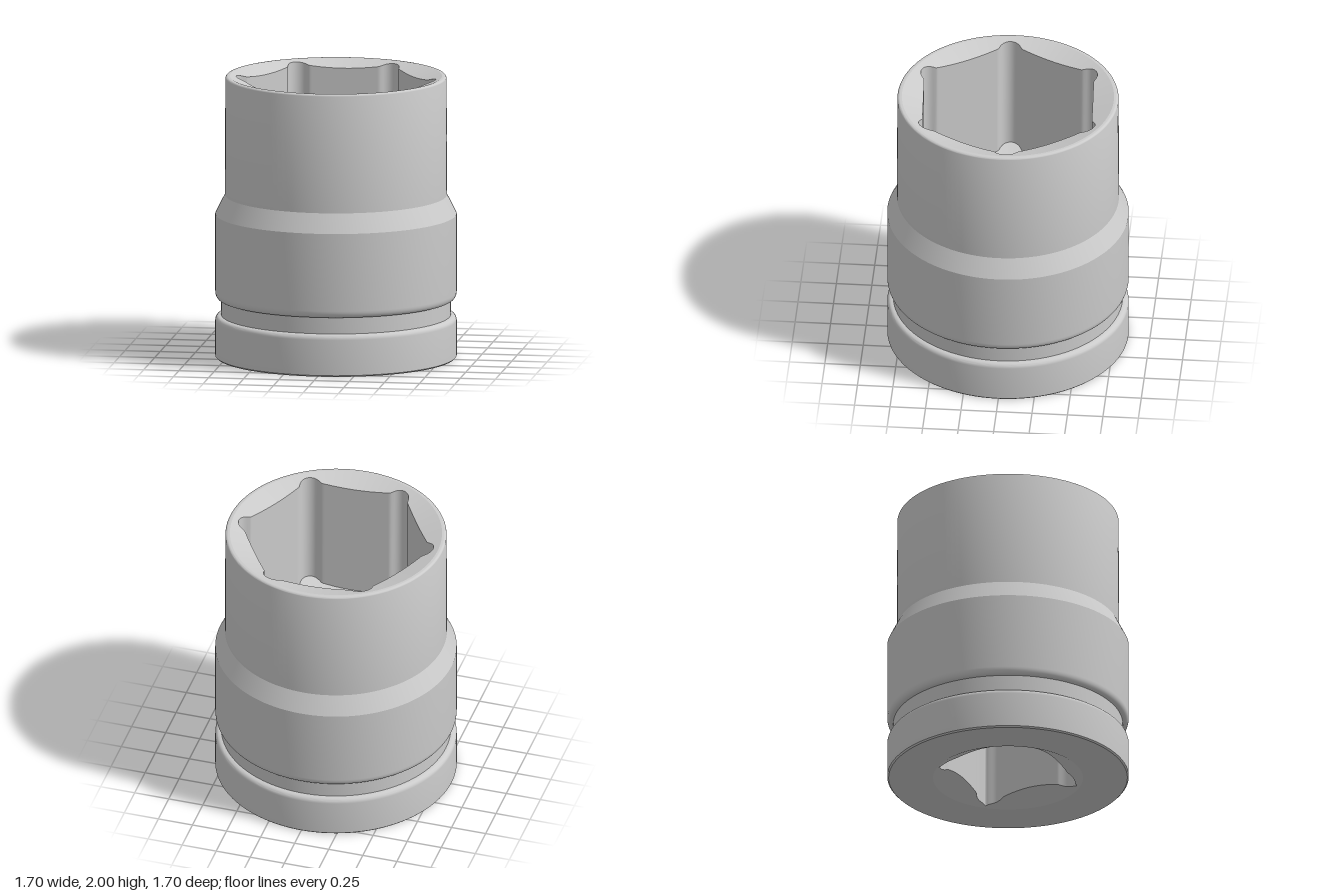
import * as THREE from 'three';
import { toCreasedNormals } from 'three/addons/utils/BufferGeometryUtils.js';

const SEGMENTS = 360;
const material = new THREE.MeshStandardMaterial({ color: 0xcccccc });

// Radius at an angle of a polygon bore whose corners are relieved by round lobes
function lobedBore(sides, flat, lobeDistance, lobeRadius, turn) {
  const step = (2 * Math.PI) / sides;
  return (angle) => {
    const t = (angle - turn) / step;
    const phi = (t - Math.round(t)) * step; // angle from the nearest corner
    const straight = flat / Math.cos(step / 2 - Math.abs(phi));
    const under = lobeRadius ** 2 - (lobeDistance * Math.sin(phi)) ** 2;
    if (under < 0) return straight;
    const lobe = lobeDistance * Math.cos(phi) + Math.sqrt(under);
    const blend = 0.02;
    const h = Math.max(blend - Math.abs(straight - lobe), 0);
    return Math.max(straight, lobe) + (h * h) / (4 * blend);
  };
}

// A ring gives [radius, height] at an angle
const circle = (r, y) => () => [r, y];
const onHeight = (radius, height) => (angle) => {
  const r = radius(angle);
  return [r, height(r)];
};
// Height of a cone running through two [radius, height] points
const cone = (a, b) => (r) => a[1] + ((r - a[0]) * (b[1] - a[1])) / (b[0] - a[0]);

// Smooth surface band between two rings
function band(name, from, to) {
  const positions = [];
  const index = [];
  for (let i = 0; i < SEGMENTS; i++) {
    const angle = (i / SEGMENTS) * 2 * Math.PI;
    for (const ring of [from, to]) {
      const [r, y] = ring(angle);
      positions.push(r * Math.cos(angle), y, r * Math.sin(angle));
    }
    const a = 2 * i;
    const n = 2 * ((i + 1) % SEGMENTS);
    index.push(a, a + 1, n, a + 1, n + 1, n);
  }
  const geometry = new THREE.BufferGeometry();
  geometry.setAttribute('position', new THREE.Float32BufferAttribute(positions, 3));
  geometry.setIndex(index);
  geometry.computeVertexNormals();
  const mesh = new THREE.Mesh(geometry, material);
  mesh.name = name;
  return mesh;
}

// Quarter-ellipse points for the rounded edges of the outer profile
function fillet(cx, cy, rx, ry, start, end) {
  return Array.from({ length: 7 }, (_, i) => {
    const a = start + ((end - start) * i) / 6;
    return [cx + rx * Math.cos(a), cy + ry * Math.sin(a)];
  });
}

export function createModel() {
  const group = new THREE.Group();
  group.name = 'impactSocket';
  const quarter = Math.PI / 2;

  // Outer body: base collar, retaining groove, wide body, taper and upper sleeve
  const profile = [
    [0.526, 0], [0.838, 0], [0.848, 0.01],
    ...fillet(0.815, 0.262, 0.033, 0.036, 0, quarter),
    [0.806, 0.3], [0.806, 0.418],
    ...fillet(0.818, 0.468, 0.03, 0.05, -quarter, 0),
    [0.848, 1.02], [0.78, 1.155],
    ...fillet(0.759, 1.982, 0.018, 0.018, 0, quarter),
    [0.745, 2],
  ].map(([x, y]) => new THREE.Vector2(x, y));
  const body = new THREE.Mesh(toCreasedNormals(new THREE.LatheGeometry(profile, 128), 0.4), material);
  body.name = 'outerBody';
  group.add(body);

  // Bore outlines
  const degree = Math.PI / 180;
  const hex = lobedBore(6, 0.595, 0.624, 0.08, -3.2 * degree);
  const square = lobedBore(4, 0.36, 0.39, 0.1, -37 * degree);

  // Conical surfaces that trim the bores
  const mouth = cone([0.745, 2], [0.595, 1.95]);
  const shoulder = cone([0.7, 1.13], [0.56, 1.06]);
  const funnel = cone([0.56, 1.06], [0.36, 0.92]);
  const entry = cone([0.36, 0.08], [0.526, 0]);

  // Inside, from the hexagonal mouth down to the square drive
  group.add(
    band('mouthChamfer', circle(0.745, 2), onHeight(hex, mouth)),
    band('hexBore', onHeight(hex, mouth), onHeight(hex, shoulder)),
    band('boreShoulder', onHeight(hex, shoulder), circle(0.56, 1.06)),
    band('boreFunnel', circle(0.56, 1.06), onHeight(square, funnel)),
    band('squareDrive', onHeight(square, funnel), onHeight(square, entry)),
    band('driveChamfer', onHeight(square, entry), circle(0.526, 0)),
  );
  return group;
}
